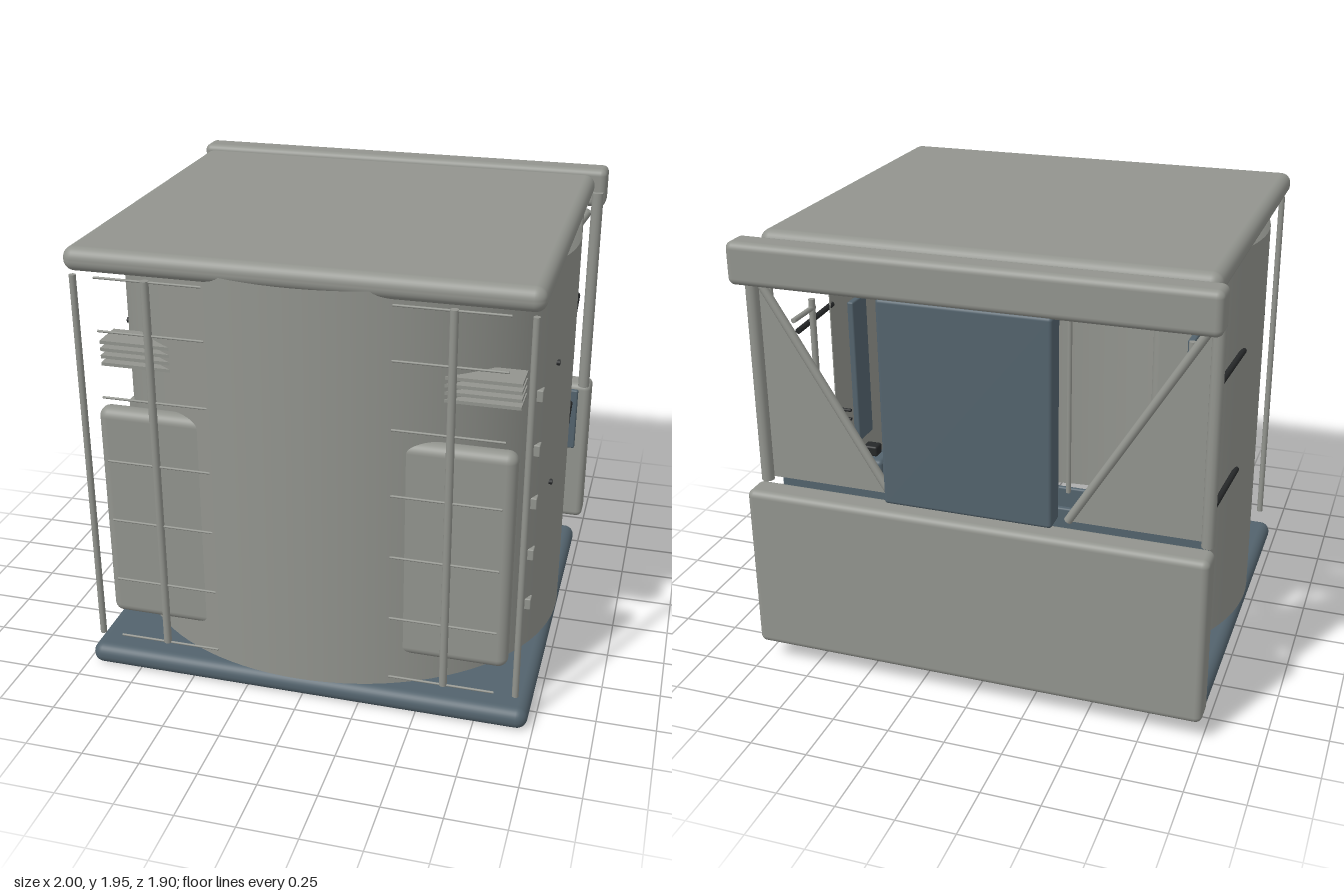
import * as THREE from 'three';
import { RoundedBoxGeometry } from 'three/addons/geometries/RoundedBoxGeometry.js';

export function createModel() {
  const model = new THREE.Group();
  const mat = (name, color, side = THREE.FrontSide) => {
    const m = new THREE.MeshStandardMaterial({ color, side });
    m.name = name;
    return m;
  };
  const grey = mat('warm grey', 0x92948e);
  const shellGrey = mat('shell grey', 0x92948e, THREE.DoubleSide);
  const blue = mat('slate blue', 0x53636d);
  const black = mat('near black', 0x262829);

  const add = (name, geometry, material, x = 0, y = 0, z = 0) => {
    const mesh = new THREE.Mesh(geometry, material);
    mesh.name = name;
    mesh.position.set(x, y, z);
    model.add(mesh);
    return mesh;
  };
  // box given by its minimum and maximum corners, optionally rounded
  const block = (name, material, a, b, r = 0) => {
    const s = a.map((v, i) => b[i] - v);
    const c = a.map((v, i) => (b[i] + v) / 2);
    const g = r ? new RoundedBoxGeometry(s[0], s[1], s[2], 4, r) : new THREE.BoxGeometry(...s);
    return add(name, g, material, ...c);
  };
  // the same box on both sides of the model
  const pair = (name, material, a, b, r = 0) => {
    block(name + 'Left', material, a, b, r);
    block(name + 'Right', material, [-b[0], a[1], a[2]], [-a[0], b[1], b[2]], r);
  };
  const rod = (name, material, a, b, r) => {
    const p = new THREE.Vector3(...a), q = new THREE.Vector3(...b);
    const d = q.clone().sub(p);
    const mesh = add(name, new THREE.CylinderGeometry(r, r, d.length(), 12), material);
    mesh.position.copy(p).add(q).multiplyScalar(0.5);
    mesh.quaternion.setFromUnitVectors(new THREE.Vector3(0, 1, 0), d.normalize());
    return mesh;
  };
  const rodPair = (name, material, a, b, r) => {
    rod(name + 'Left', material, a, b, r);
    rod(name + 'Right', material, [-a[0], a[1], a[2]], [-b[0], b[1], b[2]], r);
  };

  // floor and roof slabs
  block('floorSlab', blue, [-0.975, 0, -0.76], [0.975, 0.095, 0.91], 0.046);
  block('roofSlab', grey, [-0.955, 1.845, -0.76], [0.955, 1.945, 0.91], 0.046);

  // curved cabin shell, open at the back
  const shell = new THREE.CylinderGeometry(1, 1, 1.755, 64, 1, true, -2.1, 4.2);
  shell.scale(0.985, 1, 0.87);
  add('cabinShell', shell, shellGrey, 0, 1.0025, 0.08);
  const shellX = z => 0.985 * Math.sqrt(1 - ((z - 0.08) / 0.87) ** 2);

  // shallow bowl under the shell
  const bowl = new THREE.SphereGeometry(0.17, 24, 8, 0, Math.PI * 2, Math.PI / 2, Math.PI / 2);
  bowl.scale(0.85, 0.16, 1);
  add('floorBowl', bowl, shellGrey, 0, 0.125, 0.55);

  // front pads, poles and rails
  pair('frontPad', grey, [0.34, 0.26, 0.77], [0.875, 1.245, 0.86], 0.042);
  rodPair('innerPole', grey, [0.615, 0.16, 0.88], [0.615, 1.83, 0.88], 0.017);
  rodPair('cornerPole', grey, [0.92, 0.16, 0.88], [0.92, 1.83, 0.88], 0.014);
  for (const y of [0.16, 0.45, 0.74, 1.02, 1.31, 1.6, 1.825])
    rodPair('frontRail', grey, [0.38, y, 0.88], [0.83, y, 0.88], 0.005);
  for (let i = 0; i < 4; i++) {
    const y = 1.41 + i * 0.032;
    pair('louver', grey, [0.565, y, 0.65], [0.87, y + 0.014, 0.79]);
  }
  for (const y of [0.34, 0.74, 1.14])
    pair('padClip', grey, [0.81, y - 0.015, 0.73], [0.84, y + 0.015, 0.775]);

  // side latches, bolts and struts
  for (let i = 0; i < 5; i++) {
    const y = 0.34 + i * 0.2475, x = shellX(0.44);
    pair('sideLatch', grey, [x - 0.02, y - 0.027, 0.415], [x + 0.016, y + 0.027, 0.46], 0.005);
  }
  for (const y of [0.88, 1.43]) {
    const x = shellX(0.32);
    rodPair('sideBolt', black, [x - 0.02, y, 0.32], [x + 0.01, y, 0.32], 0.012);
    rodPair('sideStrut', black, [shellX(-0.15), y, -0.15], [0.93, y, -0.52], 0.013);
  }

  // rear wall: lower panel, header and centre panel
  block('rearLowerPanel', grey, [-1, 0.1, -0.95], [1, 0.85, -0.82], 0.03);
  block('rearHeader', grey, [-1, 1.765, -0.95], [1, 1.945, -0.82], 0.03);
  block('rearCentrePanel', blue, [-0.36, 0.89, -0.945], [0.36, 1.775, -0.84], 0.015);
  block('rearInnerPanel', blue, [-0.32, 0.97, -0.79], [0.32, 1.77, -0.765], 0.008);
  block('lowerLining', blue, [-0.75, 0.145, -0.83], [0.75, 0.74, -0.785], 0.015);
  block('lowerLiningPlate', grey, [-0.6, 0.2, -0.785], [0.6, 0.68, -0.76]);

  // rear posts, braces and corner sheets
  rodPair('rearPost', grey, [0.965, 0.85, -0.815], [0.965, 1.84, -0.815], 0.027);
  rodPair('rearBrace', grey, [0.93, 1.75, -0.815], [0.39, 0.87, -0.815], 0.018);
  for (const s of [1, -1]) {
    const tri = new THREE.BufferGeometry();
    const p = [[0.96, 0.86], [0.38, 0.86], [0.96, 1.76]];
    const order = s > 0 ? p : [p[0], p[2], p[1]];
    tri.setAttribute('position', new THREE.Float32BufferAttribute(
      order.flatMap(([x, y]) => [s * x, y, -0.8]), 3));
    tri.computeVertexNormals();
    add(s > 0 ? 'cornerSheetLeft' : 'cornerSheetRight', tri, grey);
  }

  // window frames beside the centre panel
  for (const x of [0.38, 0.9])
    rodPair('windowUpright', grey, [x, 0.98, -0.78], [x, 1.76, -0.78], 0.01);
  rodPair('windowTop', grey, [0.38, 1.76, -0.78], [0.9, 1.76, -0.78], 0.01);

  // grab handles
  rodPair('grabBar', grey, [0.82, 0.87, -0.585], [0.82, 1.61, -0.585], 0.014);
  for (const y of [0.9, 1.57])
    rodPair('grabBracket', grey, [0.82, y, -0.57], [0.82, y, -0.755], 0.011);

  // rear console with knobs and small rods
  block('consolePanel', blue, [-0.95, 0.555, -0.72], [0.95, 0.87, -0.695], 0.008);
  block('consoleTop', blue, [-0.5, 0.71, -0.65], [0.5, 0.93, -0.63], 0.008);
  rodPair('consoleKnob', black, [0.78, 0.7, -0.7], [0.78, 0.7, -0.665], 0.018);
  for (let i = 0; i < 5; i++)
    block('keyRow', black, [-0.3, 0.74 + i * 0.035, -0.63], [0.3, 0.755 + i * 0.035, -0.595]);
  for (let i = 0; i < 4; i++)
    rodPair('shelfRod', black, [0.6, 1.06 + i * 0.04, -0.715], [0.83, 1.06 + i * 0.04, -0.715], 0.007);
  block('display', black, [-0.2, 1.26, -0.74], [0.2, 1.42, -0.71], 0.01);

  // overhead unit on its arm
  block('overheadUnit', black, [-0.035, 1.73, -0.55], [0.035, 1.79, -0.485], 0.008);
  rod('overheadArm', grey, [0, 1.77, -0.53], [0, 1.81, -0.65], 0.01);

  // cabin interior: side boards, control boxes and floor grille
  pair('sideBoard', blue, [0.75, 0.85, -0.34], [0.78, 1.52, -0.2], 0.008);
  pair('controlBox', blue, [0.65, 0.58, -0.34], [0.8, 0.76, -0.2], 0.02);
  pair('controlCap', black, [0.69, 0.76, -0.3], [0.76, 0.81, -0.24], 0.01);
  for (let i = 0; i < 7; i++)
    rodPair('floorGrille', black, [0.24, 0.11, 0.24 - i * 0.07], [0.53, 0.11, 0.24 - i * 0.07], 0.01);

  return model;
}
